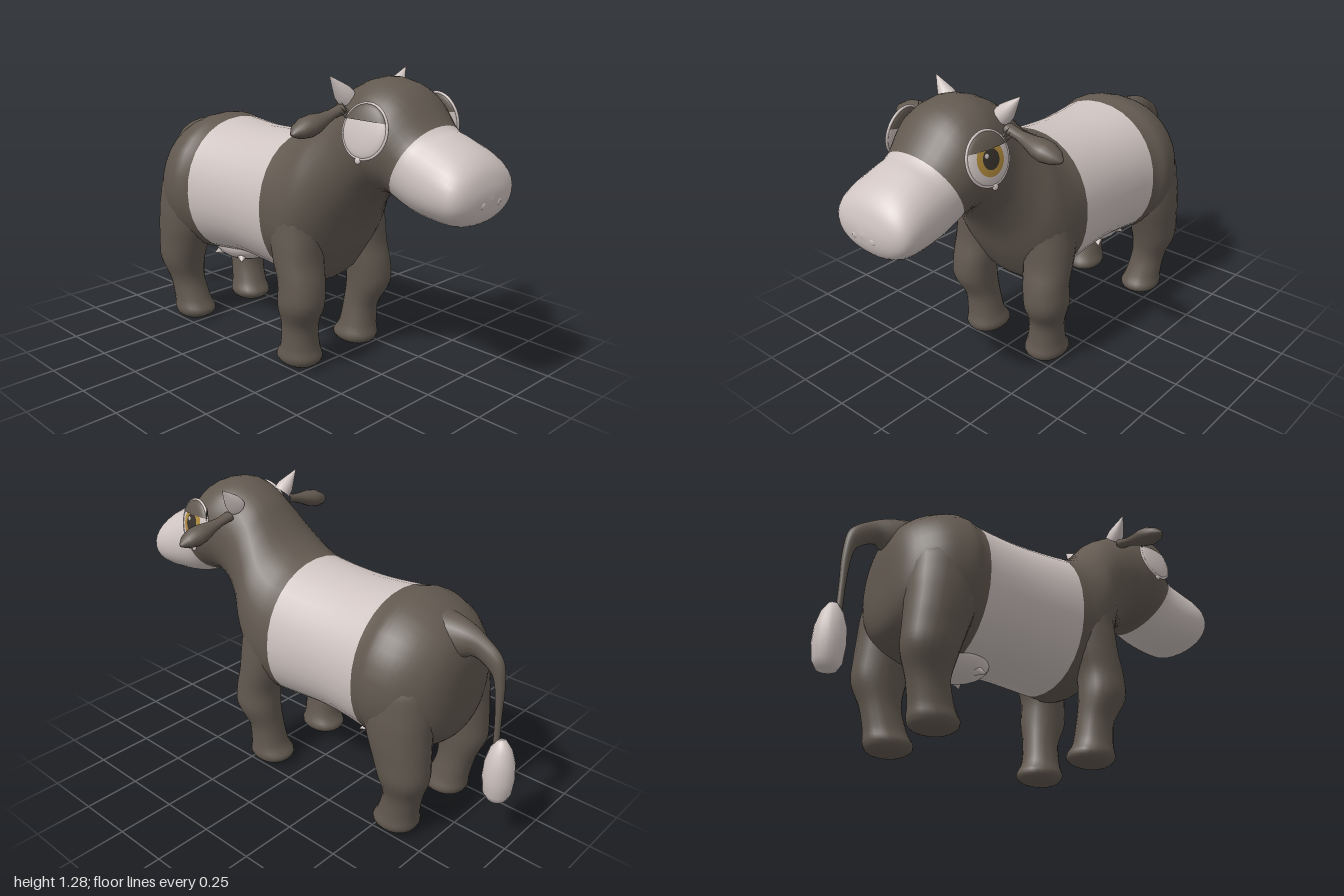
import * as THREE from 'three';

const mat = (name, color) => new THREE.MeshStandardMaterial({ name, color });
const dark = mat('dark brown coat', 0x625950);
const light = mat('pale coat', 0xcfc4c1);
const gold = mat('gold iris', 0xb08a3c);
const black = mat('pupil', 0x38322c);

const UP = new THREE.Vector3(0, 1, 0);

// Smooth skin through oval sections [topX, topY, bottomX, bottomY, halfWidth, centreZ].
// bands: [[first section, material], ...]
function loft(name, sections, bands, power = 1, steps = 4, sides = 32) {
  const upper = new THREE.CatmullRomCurve3(
    sections.map(s => new THREE.Vector3(s[0], s[1], s[4])), false, 'catmullrom', 0.5);
  const lower = new THREE.CatmullRomCurve3(
    sections.map(s => new THREE.Vector3(s[2], s[3], s[5] || 0)), false, 'catmullrom', 0.5);
  const soften = v => Math.sign(v) * Math.abs(v) ** power;
  const rows = (sections.length - 1) * steps;
  const pos = [], idx = [];
  for (let i = 0; i <= rows; i++) {
    const t = upper.getPoint(i / rows), b = lower.getPoint(i / rows);
    const w = Math.max(t.z, 0);
    for (let j = 0; j < sides; j++) {
      const a = (j / sides) * Math.PI * 2;
      const k = soften(Math.cos(a)) / 2;
      pos.push((t.x + b.x) / 2 + (t.x - b.x) * k,
        (t.y + b.y) / 2 + (t.y - b.y) * k,
        b.z + w * soften(Math.sin(a)));
    }
  }
  for (let i = 0; i < rows; i++) {
    for (let j = 0; j < sides; j++) {
      const a = i * sides + j, b = i * sides + (j + 1) % sides;
      idx.push(a, b, a + sides, b, b + sides, a + sides);
    }
  }
  const geo = new THREE.BufferGeometry();
  geo.setAttribute('position', new THREE.Float32BufferAttribute(pos, 3));
  geo.setIndex(idx);
  geo.computeVertexNormals();
  const perSection = steps * sides * 6;
  bands.forEach(([from], n) => {
    const to = n + 1 < bands.length ? bands[n + 1][0] : sections.length - 1;
    geo.addGroup(from * perSection, (to - from) * perSection, n);
  });
  const mesh = new THREE.Mesh(geo, bands.map(b => b[1]));
  mesh.name = name;
  return mesh;
}

function add(parent, name, geo, material, x = 0, y = 0, z = 0) {
  const mesh = new THREE.Mesh(geo, material);
  mesh.name = name;
  mesh.position.set(x, y, z);
  parent.add(mesh);
  return mesh;
}

// Point a mesh's own y axis along a direction
const aim = (mesh, x, y, z) =>
  mesh.quaternion.setFromUnitVectors(UP, new THREE.Vector3(x, y, z).normalize());

// Turned shape from [radius, height] pairs, listed bottom to top
const turned = (pts, sides = 20) =>
  new THREE.LatheGeometry(pts.map(p => new THREE.Vector2(p[0], p[1])), sides);

// Leg from [y, centreX, radiusX, centreZ, radiusZ] rows, foot to shoulder
const leg = (name, rows, s) => loft(name,
  rows.map(([y, cx, rx, cz, rz]) => [cx - rx, y, cx + rx, y, rz, cz * s]), [[0, dark]], 0.94, 4, 20);

// Shallow domed eye, with the iris on one side only; local x * s points forward
function makeEye(s) {
  const eye = new THREE.Group();
  eye.name = s > 0 ? 'leftEye' : 'rightEye';
  const dome = (lift, spread) => new THREE.SphereGeometry(1, 28, 14, 0, Math.PI * 2, 0, spread)
    .rotateX(Math.PI / 2).scale(0.096, 0.104, 0.02 + lift);
  add(eye, 'eyeball', dome(0, Math.PI), light);
  if (s < 0) {
    add(eye, 'iris', dome(0.0015, 0.7), gold);
    add(eye, 'pupil', dome(0.003, 0.4), black);
    add(eye, 'glint', new THREE.SphereGeometry(0.01, 10, 8).scale(1, 1, 0.3), light, 0.018 * s, 0.016, 0.022);
  }
  // Upper lid covers the top of the dome
  add(eye, 'upperLid', new THREE.SphereGeometry(1, 28, 10, 0, Math.PI * 2, 0, 1.2)
    .scale(0.096, 0.104, 0.026), dark);
  add(eye, 'eyeRim', new THREE.TorusGeometry(0.096, 0.006, 8, 36).scale(1, 1.08, 1), light);
  add(eye, 'tearDrop', new THREE.SphereGeometry(0.014, 12, 8).scale(1, 1.1, 0.6), light, -0.01 * s, -0.11, 0);
  // Lashes at the rear corner
  for (let i = 0; i < 3; i++) {
    aim(add(eye, 'lash', new THREE.ConeGeometry(0.005, 0.045, 6), dark,
      -0.098 * s, 0.045 + i * 0.016, 0.012), -0.6 * s, 0.35 + i * 0.2, 0.5);
  }
  eye.position.set(0.58, 1.095, 0.228 * s);
  // The plate leans so that its lower, rear edge stands out furthest
  const out = new THREE.Vector3(0.14, 0.22, s).normalize();
  const right = new THREE.Vector3(s, 0, 0).addScaledVector(out, -out.x * s).normalize();
  const top = new THREE.Vector3().crossVectors(out, right);
  eye.quaternion.setFromRotationMatrix(new THREE.Matrix4().makeBasis(right, top, out));
  return eye;
}

export function createModel() {
  const cow = new THREE.Group();
  cow.name = 'cow';

  // Rump, barrel, neck, head and muzzle in one skin
  cow.add(loft('body', [
    [-0.755, 0.7, -0.755, 0.66, 0],
    [-0.748, 0.81, -0.75, 0.52, 0.125],
    [-0.71, 0.905, -0.715, 0.43, 0.225],
    [-0.62, 0.975, -0.62, 0.37, 0.31],
    [-0.51, 1.012, -0.5, 0.35, 0.338],
    [-0.42, 1.0, -0.42, 0.36, 0.315],
    [-0.2, 0.985, -0.2, 0.38, 0.3],
    [0.05, 1.0, 0.075, 0.36, 0.303],
    [0.14, 1.03, 0.2, 0.36, 0.303],
    [0.21, 1.075, 0.295, 0.49, 0.283],
    [0.27, 1.135, 0.37, 0.64, 0.24],
    [0.33, 1.2, 0.455, 0.755, 0.21],
    [0.42, 1.252, 0.53, 0.81, 0.208],
    [0.52, 1.272, 0.575, 0.82, 0.218],
    [0.645, 1.23, 0.6, 0.82, 0.214],
    [0.76, 1.11, 0.62, 0.81, 0.192],
    [0.83, 1.08, 0.73, 0.768, 0.192],
    [0.92, 1.035, 0.88, 0.755, 0.198],
    [0.972, 0.985, 0.95, 0.772, 0.178],
    [0.995, 0.925, 0.985, 0.815, 0.11],
    [1.0, 0.875, 1.0, 0.87, 0],
  ], [[0, dark], [5, light], [7, dark], [15, light]], 0.95));

  for (const s of [1, -1]) {
    const side = s > 0 ? 'left' : 'right';
    cow.add(leg(side + 'FrontLeg', [
      [0.0, 0.18, 0, 0.18, 0],
      [0.012, 0.18, 0.075, 0.18, 0.065],
      [0.045, 0.178, 0.106, 0.179, 0.093],
      [0.1, 0.188, 0.086, 0.184, 0.083],
      [0.2, 0.197, 0.081, 0.194, 0.077],
      [0.3, 0.222, 0.102, 0.212, 0.095],
      [0.4, 0.222, 0.1, 0.208, 0.1],
      [0.5, 0.195, 0.105, 0.2, 0.108],
      [0.62, 0.175, 0.12, 0.185, 0.117],
      [0.75, 0.16, 0.12, 0.16, 0.115],
      [0.9, 0.15, 0, 0.1, 0],
    ], s));
    cow.add(leg(side + 'BackLeg', [
      [0.0, -0.575, 0, 0.18, 0],
      [0.012, -0.575, 0.072, 0.18, 0.065],
      [0.045, -0.573, 0.102, 0.179, 0.093],
      [0.1, -0.588, 0.09, 0.184, 0.083],
      [0.2, -0.612, 0.086, 0.194, 0.08],
      [0.3, -0.622, 0.112, 0.21, 0.1],
      [0.4, -0.605, 0.128, 0.21, 0.11],
      [0.5, -0.585, 0.142, 0.205, 0.122],
      [0.62, -0.57, 0.15, 0.19, 0.133],
      [0.76, -0.55, 0.14, 0.16, 0.13],
      [0.9, -0.53, 0, 0.1, 0],
    ], s));

    // Ear: a thick leaf on a short stalk
    aim(add(cow, side + 'Ear', turned([[0.028, 0], [0.025, 0.06], [0.035, 0.11],
      [0.05, 0.16], [0.053, 0.2], [0.038, 0.245], [0.012, 0.275], [0, 0.28]]).scale(1, 1, 0.75),
      dark, 0.41, 1.152, 0.175 * s), 0.03, -0.24, s);

    // Horn
    aim(add(cow, side + 'Horn', turned([[0.04, 0], [0.037, 0.035], [0.02, 0.08], [0, 0.13]]),
      light, 0.402, 1.188, 0.138 * s), -0.01, 0.09, 0.083 * s);

    cow.add(makeEye(s));
    add(cow, side + 'Nostril', new THREE.SphereGeometry(0.018, 12, 8).scale(0.6, 1, 1),
      light, 0.988, 0.86, 0.048 * s);

    // Teats at the corners of the udder
    for (const x of [-0.48, -0.32]) {
      aim(add(cow, 'teat', new THREE.ConeGeometry(0.035, 0.07, 12), light, x, 0.342, 0.085 * s),
        (x + 0.4) * 8, -0.4, 0.6 * s);
    }
  }

  add(cow, 'udder', new THREE.SphereGeometry(1, 24, 16).scale(0.165, 0.085, 0.13), light, -0.4, 0.393, 0);

  // Tail, from the tuft up to the rump
  cow.add(loft('tail', [
    [-0.922, 0.46, -0.896, 0.46, 0.014],
    [-0.92, 0.6, -0.892, 0.6, 0.015],
    [-0.92, 0.73, -0.88, 0.72, 0.02],
    [-0.9, 0.845, -0.855, 0.78, 0.026],
    [-0.82, 0.912, -0.78, 0.82, 0.036],
    [-0.72, 0.955, -0.72, 0.79, 0.07],
    [-0.6, 0.97, -0.62, 0.76, 0.1],
    [-0.5, 0.95, -0.5, 0.8, 0.06],
  ], [[0, dark]], 1, 5, 16));
  add(cow, 'tailTuft', turned([[0, 0.222], [0.04, 0.228], [0.058, 0.26], [0.066, 0.33],
    [0.062, 0.4], [0.045, 0.46], [0.02, 0.5], [0, 0.505]]), light, -0.934, 0, 0);

  return cow;
}
